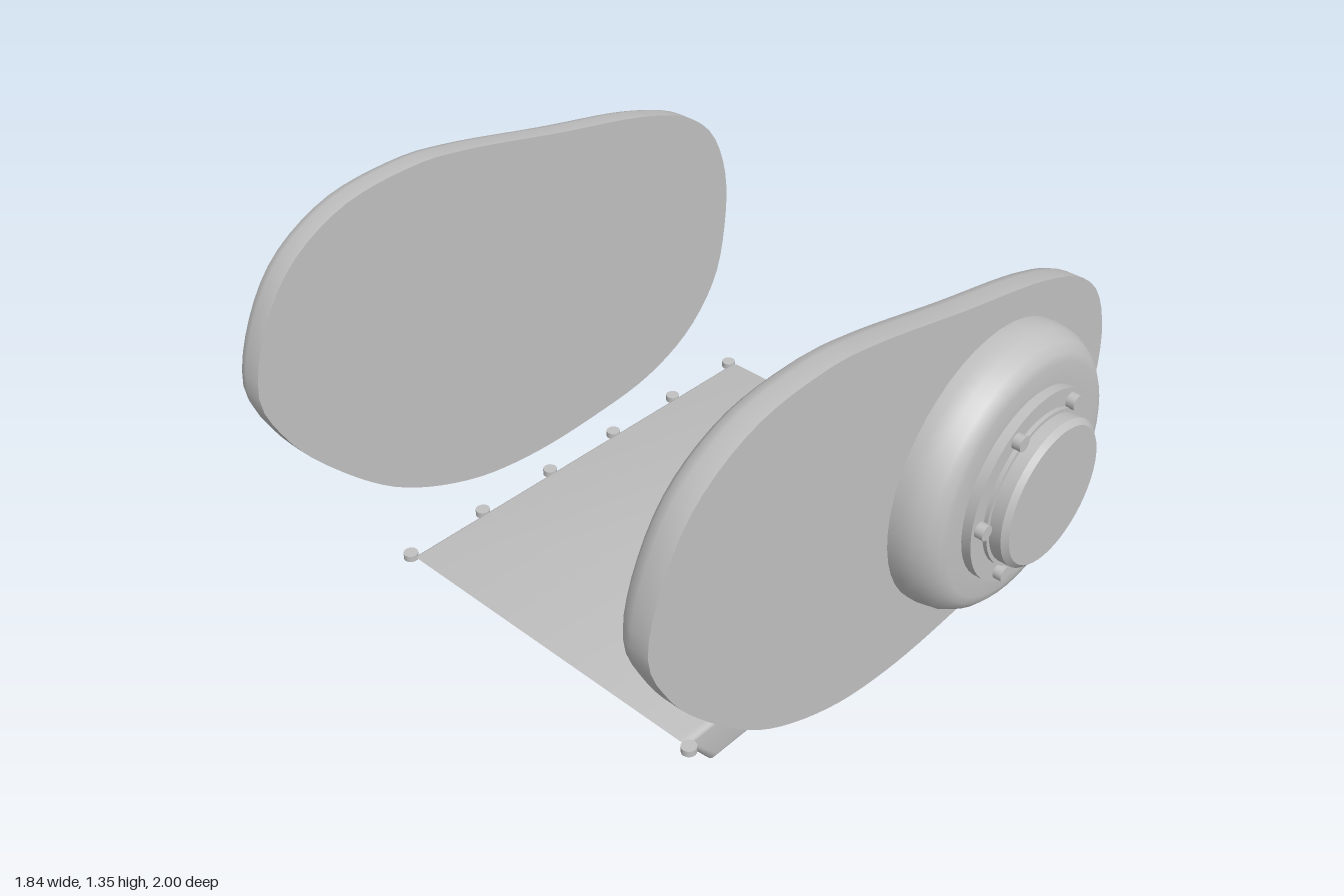
import * as THREE from 'three';
import { mergeGeometries, toCreasedNormals } from 'three/addons/utils/BufferGeometryUtils.js';

const CREASE = 0.6;
const AXIS_X = 0.36, AXIS_Y = 0.715;

// Closed cover outline, counter-clockwise
const OUTLINE = [
  [0.912, 0.66], [0.912, 0.86], [0.845, 1.025], [0.73, 1.122], [0.55, 1.188], [0.18, 1.262],
  [-0.17, 1.333], [-0.33, 1.35], [-0.6, 1.315], [-0.8, 1.18], [-0.917, 0.89], [-0.85, 0.71],
  [-0.73, 0.555], [-0.51, 0.36], [-0.24, 0.24], [0, 0.202], [0.28, 0.208], [0.55, 0.245],
  [0.74, 0.335], [0.865, 0.48],
];

// Plate with a sharp front edge and a rounded back edge, back at z = 0
function coverGeometry(depth) {
  const curve = new THREE.CatmullRomCurve3(
    OUTLINE.map(([x, y]) => new THREE.Vector3(x, y, 0)), true, 'centripetal');
  const pts = curve.getSpacedPoints(96).slice(0, -1);
  const n = pts.length;
  const ring = (inset) => pts.map((p, i) => {
    const t = pts[(i + 1) % n].clone().sub(pts[(i + n - 1) % n]).normalize();
    return new THREE.Vector2(p.x - t.y * inset, p.y + t.x * inset);
  });
  const profile = [[0, 0.05], [0.008, 0.027], [0.027, 0.008], [0.055, 0], [depth, 0]];
  const rings = profile.map(([z, inset]) => ({ z, p: ring(inset) }));
  const pos = [], idx = [];
  rings.forEach(({ z, p }) => p.forEach((v) => pos.push(v.x, v.y, z)));
  for (let r = 0; r < rings.length - 1; r++) {
    for (let i = 0; i < n; i++) {
      const a = r * n + i, b = r * n + (i + 1) % n;
      idx.push(a, b, b + n, a, b + n, a + n);
    }
  }
  const wall = new THREE.BufferGeometry();
  wall.setAttribute('position', new THREE.Float32BufferAttribute(pos, 3));
  wall.setIndex(idx);
  wall.computeVertexNormals();

  const cap = (points) => {
    const g = new THREE.ShapeGeometry(new THREE.Shape(points));
    g.deleteAttribute('uv');
    return g;
  };
  const front = cap(rings[rings.length - 1].p).translate(0, 0, depth);
  const back = cap(rings[0].p);
  back.index.array.reverse();
  back.computeVertexNormals();
  return toCreasedNormals(mergeGeometries([wall, front, back]), CREASE);
}

// Profile of [radius, z] pairs, z increasing, turned about the z axis
function turned(profile, segments) {
  const g = new THREE.LatheGeometry(profile.map(([r, z]) => new THREE.Vector2(r, z)), segments);
  return toCreasedNormals(g.rotateX(Math.PI / 2), CREASE);
}

export function createModel() {
  const group = new THREE.Group();
  const metal = new THREE.MeshStandardMaterial({ color: 0xc0c0c0 });
  metal.name = 'light grey metal';

  const add = (name, geometry, x = 0, y = 0, z = 0) => {
    const mesh = new THREE.Mesh(geometry, metal);
    mesh.name = name;
    mesh.position.set(x, y, z);
    group.add(mesh);
    return mesh;
  };

  // Side covers
  const cover = coverGeometry(0.11);
  add('frontCover', cover, 0, 0, 0.67);
  add('backCover', cover, 0, 0, -0.75);

  // Stepped round housing on the front cover
  add('frontHousing', turned([
    [0.414, 0.78], [0.414, 0.81], [0.406, 0.85], [0.386, 0.885], [0.362, 0.905], [0.34, 0.91],
    [0.278, 0.91], [0.278, 0.938], [0.226, 0.938],
    [0.226, 0.95], [0.215, 0.95], [0.215, 0.985], [0.2, 1], [0, 1],
  ], 48), AXIS_X, AXIS_Y);

  // Ring of housing bolts
  const housingBolt = new THREE.CylinderGeometry(0.022, 0.022, 0.03, 16).rotateX(Math.PI / 2);
  for (let i = 0; i < 6; i++) {
    const a = i * Math.PI / 3;
    add('housingBolt', housingBolt,
      AXIS_X + 0.245 * Math.cos(a), AXIS_Y + 0.245 * Math.sin(a), 0.948);
  }

  // Dome and cap on the back cover
  add('backDome', turned([
    [0, -0.978], [0.08, -0.975], [0.19, -0.957], [0.255, -0.928], [0.308, -0.89],
    [0.352, -0.845], [0.376, -0.8], [0.383, -0.75],
  ], 48), AXIS_X, AXIS_Y);
  add('domeCap', turned([
    [0, -1], [0.073, -1], [0.08, -0.994], [0.08, -0.96],
  ], 32), AXIS_X, AXIS_Y);

  // Sump pan: tapered section with softened edges
  const b = 0.022;
  const section = new THREE.Shape([
    new THREE.Vector2(-0.445, 0.045 + b), new THREE.Vector2(0.765, 0.045 + b),
    new THREE.Vector2(0.822, 0.2 - b), new THREE.Vector2(-0.537, 0.2 - b),
  ]);
  const length = 1.102 - 2 * b;
  const pan = new THREE.ExtrudeGeometry(section, {
    depth: length, bevelEnabled: true, bevelSize: b, bevelThickness: b, bevelSegments: 4,
  });
  add('sumpPan', toCreasedNormals(pan, CREASE), 0, 0, 0.014 - length / 2);

  // Pan bolts along both long edges
  const panBolt = new THREE.CylinderGeometry(0.022, 0.022, 0.02, 16);
  for (const z of [-0.55, 0.575]) {
    for (let i = 0; i < 6; i++) add('panBolt', panBolt, -0.563 + i * 0.2816, 0.185, z);
  }

  // Hexagonal drain plug
  const plug = new THREE.CylinderGeometry(0.05, 0.05, 0.05, 6).rotateY(Math.PI / 6);
  add('drainPlug', toCreasedNormals(plug, CREASE), 0.145, 0.025, 0.015);

  return group;
}
